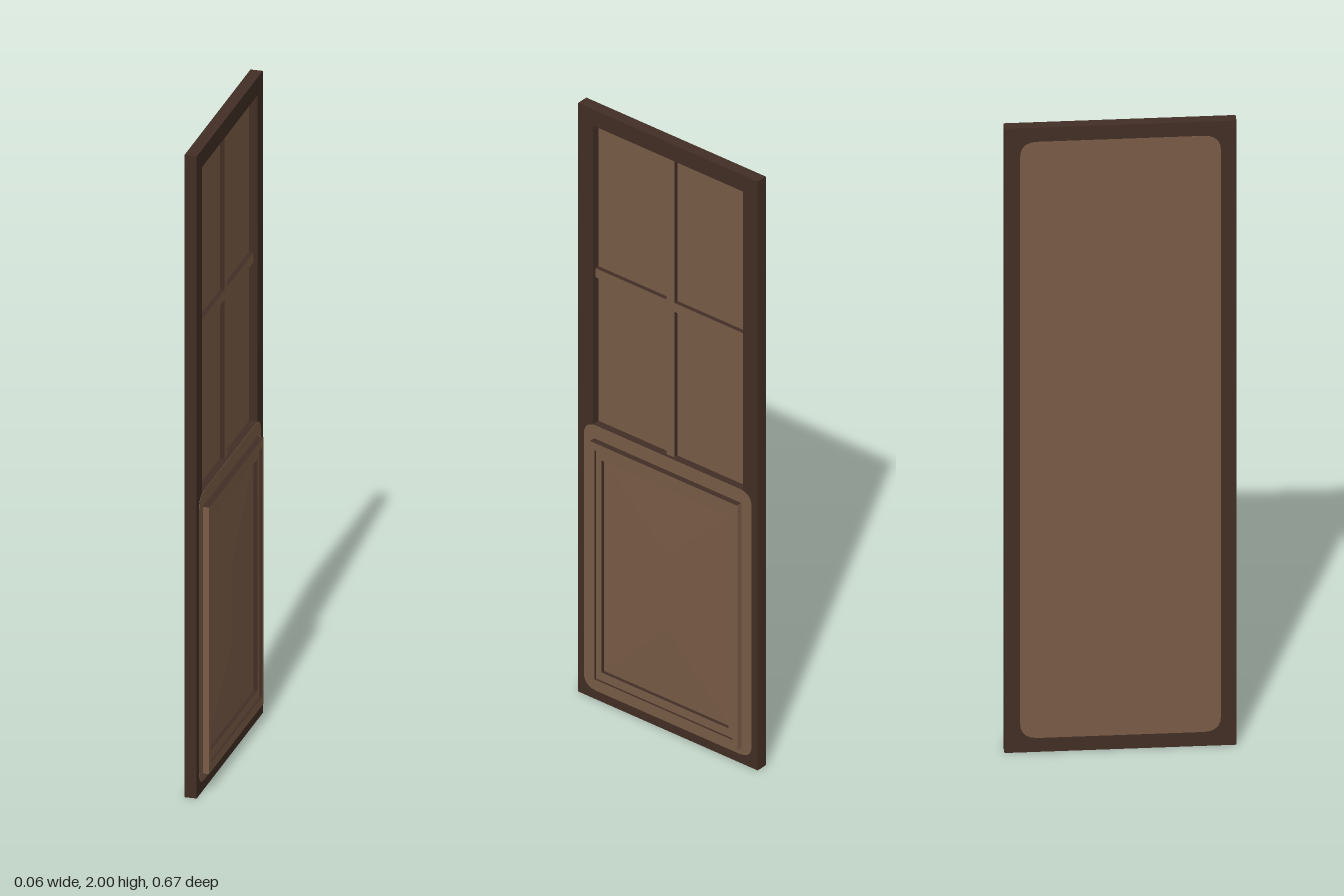
import * as THREE from 'three';

const dark = new THREE.MeshStandardMaterial({ color: 0x422e25 });
dark.name = 'dark worn edge';
const light = new THREE.MeshStandardMaterial({ color: 0x7a5c47 });
light.name = 'brown wood';

// Rectangle in the door plane with optional rounded corners
function rect(target, halfW, y0, y1, r = 0) {
  if (!r) {
    target.moveTo(-halfW, y0).lineTo(halfW, y0).lineTo(halfW, y1).lineTo(-halfW, y1).closePath();
    return target;
  }
  target.moveTo(-halfW + r, y0).lineTo(halfW - r, y0).quadraticCurveTo(halfW, y0, halfW, y0 + r);
  target.lineTo(halfW, y1 - r).quadraticCurveTo(halfW, y1, halfW - r, y1);
  target.lineTo(-halfW + r, y1).quadraticCurveTo(-halfW, y1, -halfW, y1 - r);
  target.lineTo(-halfW, y0 + r).quadraticCurveTo(-halfW, y0, -halfW + r, y0);
  return target;
}

export function createModel() {
  const door = new THREE.Group();
  door.name = 'door';

  // Extrude a door-plane shape from x0 to x1
  function layer(name, shape, x0, x1, materials) {
    const geo = new THREE.ExtrudeGeometry(shape, { depth: x1 - x0, bevelEnabled: false, curveSegments: 5 });
    geo.rotateY(Math.PI / 2).translate(x0, 0, 0);
    const mesh = new THREE.Mesh(geo, materials);
    mesh.name = name;
    door.add(mesh);
  }

  function ring(outer, inner) {
    const shape = rect(new THREE.Shape(), ...outer);
    shape.holes.push(rect(new THREE.Path(), ...inner));
    return shape;
  }

  function box(name, x0, x1, y0, y1, z0, z1, materials) {
    const mesh = new THREE.Mesh(new THREE.BoxGeometry(x1 - x0, y1 - y0, z1 - z0), materials);
    mesh.position.set((x0 + x1) / 2, (y0 + y1) / 2, (z0 + z1) / 2);
    mesh.name = name;
    door.add(mesh);
  }

  // Slab: solid back and a frame around the window recess
  box('backBoard', -0.029, -0.019, 0, 2, -0.335, 0.335, dark);
  layer('frame', ring([0.335, 0, 2], [0.28, 0.93, 1.945]), -0.019, 0.008, dark);
  layer('backFace', rect(new THREE.Shape(), 0.29, 0.045, 1.955, 0.05), -0.03, -0.029, light);
  layer('lowerFace', rect(new THREE.Shape(), 0.313, 0.03, 0.93, 0.045), 0.008, 0.009, light);

  // Four recessed panes
  for (const [y0, y1] of [[0.93, 1.425], [1.455, 1.945]]) {
    for (const [z0, z1] of [[-0.28, -0.015], [0.015, 0.28]]) {
      box('pane', -0.019, -0.017, y0, y1, z0, z1, light);
    }
  }

  // Glazing bars: light faces, dark sides
  const barMaterials = [light, dark, dark, dark, dark, dark];
  box('crossBar', -0.019, -0.003, 1.425, 1.455, -0.28, 0.28, barMaterials);
  box('lowerUprightBar', -0.019, -0.003, 0.93, 1.425, -0.015, 0.015, barMaterials);
  box('upperUprightBar', -0.019, -0.003, 1.455, 1.945, -0.015, 0.015, barMaterials);

  // Stepped moulding around the lower panel
  layer('outerMoulding', ring([0.275, 0.055, 0.885], [0.257, 0.082, 0.86]), 0.009, 0.028, [light, dark]);
  layer('innerMoulding', ring([0.257, 0.082, 0.86], [0.237, 0.11, 0.83]), 0.009, 0.021, [light, dark]);
  for (const s of [-1, 1]) {
    box('mouldingSide', 0.009, 0.028, 0.055, 0.885, s * 0.2755 - 0.0005, s * 0.2755 + 0.0005, light);
  }

  // Shallow hipped field inside the moulding
  const a = [0.0095, 0.11, 0.237], b = [0.0095, 0.11, -0.237];
  const c = [0.0095, 0.83, -0.237], d = [0.0095, 0.83, 0.237];
  const low = [0.015, 0.35, 0], high = [0.015, 0.6, 0];
  const faces = [a, b, low, b, c, high, b, high, low, c, d, high, d, a, low, d, low, high];
  const geo = new THREE.BufferGeometry();
  geo.setAttribute('position', new THREE.Float32BufferAttribute(faces.flat(), 3));
  geo.computeVertexNormals();
  const field = new THREE.Mesh(geo, light);
  field.name = 'raisedField';
  door.add(field);

  return door;
}
